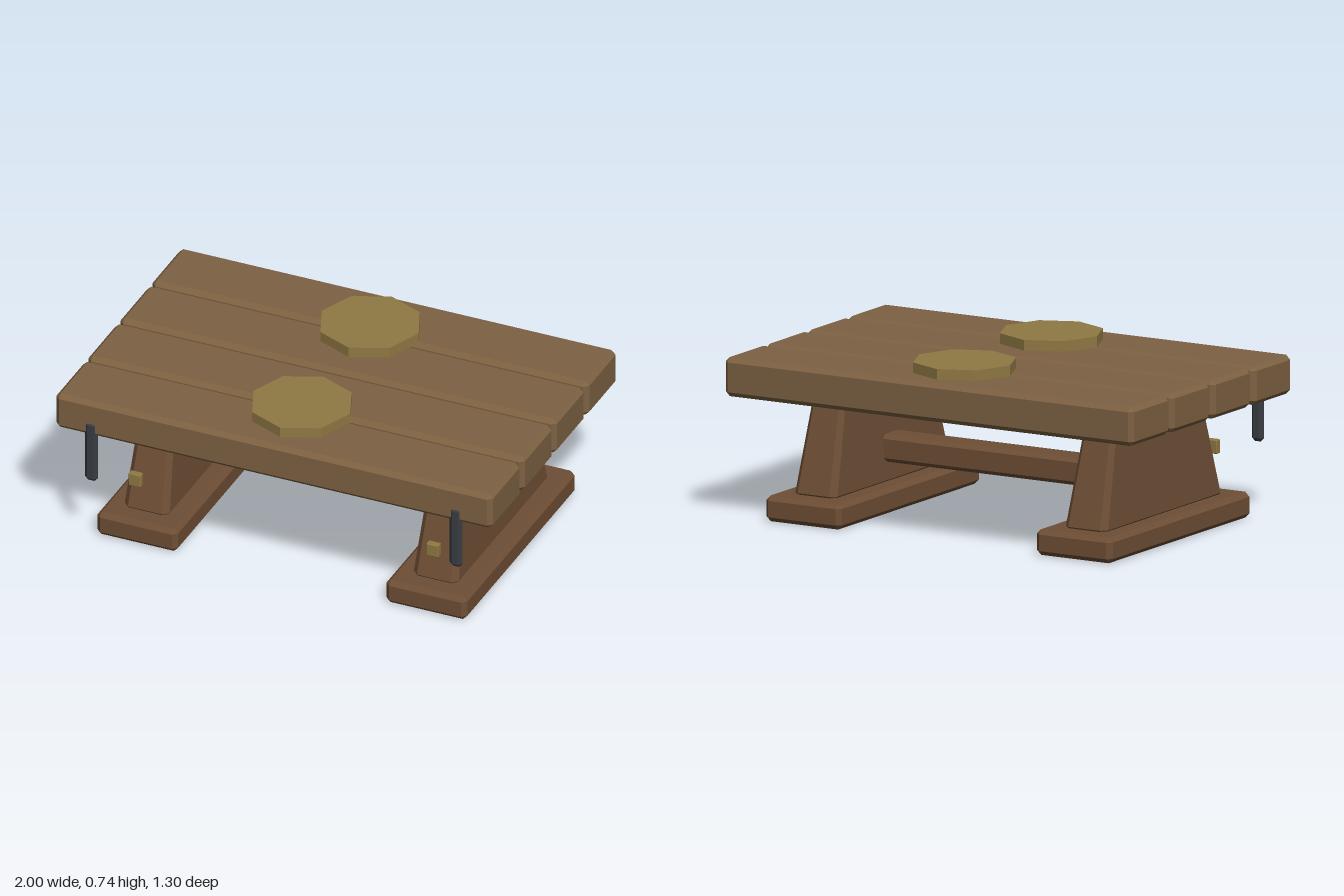
import * as THREE from 'three';
import { ConvexGeometry } from 'three/addons/geometries/ConvexGeometry.js';

const material = (color) => new THREE.MeshStandardMaterial({ color, flatShading: true });

// Box with chamfered edges; `taper` scales the top outline relative to the bottom
function chamferBox(w, h, d, bevel, taper = 1) {
  const half = [w / 2, h / 2, d / 2];
  const points = [];
  for (const sx of [-1, 1]) for (const sy of [-1, 1]) for (const sz of [-1, 1]) {
    for (let axis = 0; axis < 3; axis++) {
      const [x, y, z] = half.map((v, i) => (i === axis ? v : v - bevel));
      const s = 1 + (taper - 1) * (sy * y / h + 0.5);
      points.push(new THREE.Vector3(sx * x * s, sy * y, sz * z * s));
    }
  }
  return new ConvexGeometry(points);
}

export function createModel() {
  const group = new THREE.Group();
  const plankWood = material(0x7d6142);
  const legWood = material(0x6e4e35);
  const paleWood = material(0x8f7843);
  const iron = material(0x383c41);
  const zMid = -0.003;

  function add(name, geometry, mat, x, y, z) {
    const mesh = new THREE.Mesh(geometry, mat);
    mesh.name = name;
    mesh.position.set(x, y, z);
    group.add(mesh);
  }

  // Table top: four thick planks with narrow gaps
  const plank = chamferBox(2, 0.167, 0.309, 0.02);
  for (let i = 0; i < 4; i++) {
    add('plank' + (i + 1), plank, plankWood, 0, 0.6145, zMid + (i - 1.5) * 0.3275);
  }

  // Two octagonal plates on the top
  const plate = new THREE.CylinderGeometry(0.222, 0.222, 0.046, 8);
  add('frontPlate', plate, paleWood, 0, 0.72, zMid + 0.349);
  add('backPlate', plate, paleWood, 0, 0.72, zMid - 0.349);

  // Trestles, with a peg and an iron bar at each front corner
  const foot = chamferBox(0.37, 0.11, 1.137, 0.02);
  const leg = chamferBox(0.21, 0.495, 0.968, 0.026, 0.71);
  const peg = chamferBox(0.057, 0.06, 0.031, 0.004);
  const bar = chamferBox(0.058, 0.29, 0.032, 0.0155);
  for (const [side, s] of [['left', 1], ['right', -1]]) {
    add(side + 'Foot', foot, legWood, s * 0.662, 0.055, zMid);
    add(side + 'Leg', leg, legWood, s * 0.662, 0.3375, zMid);
    add(side + 'Peg', peg, paleWood, s * 0.682, 0.294, 0.5225);
    add(side + 'IronBar', bar, iron, s * 0.835, 0.456, 0.633);
  }

  // Stretcher beam joining the trestles
  add('stretcher', chamferBox(1.3, 0.118, 0.135, 0.018), legWood, 0, 0.253, zMid);

  return group;
}
